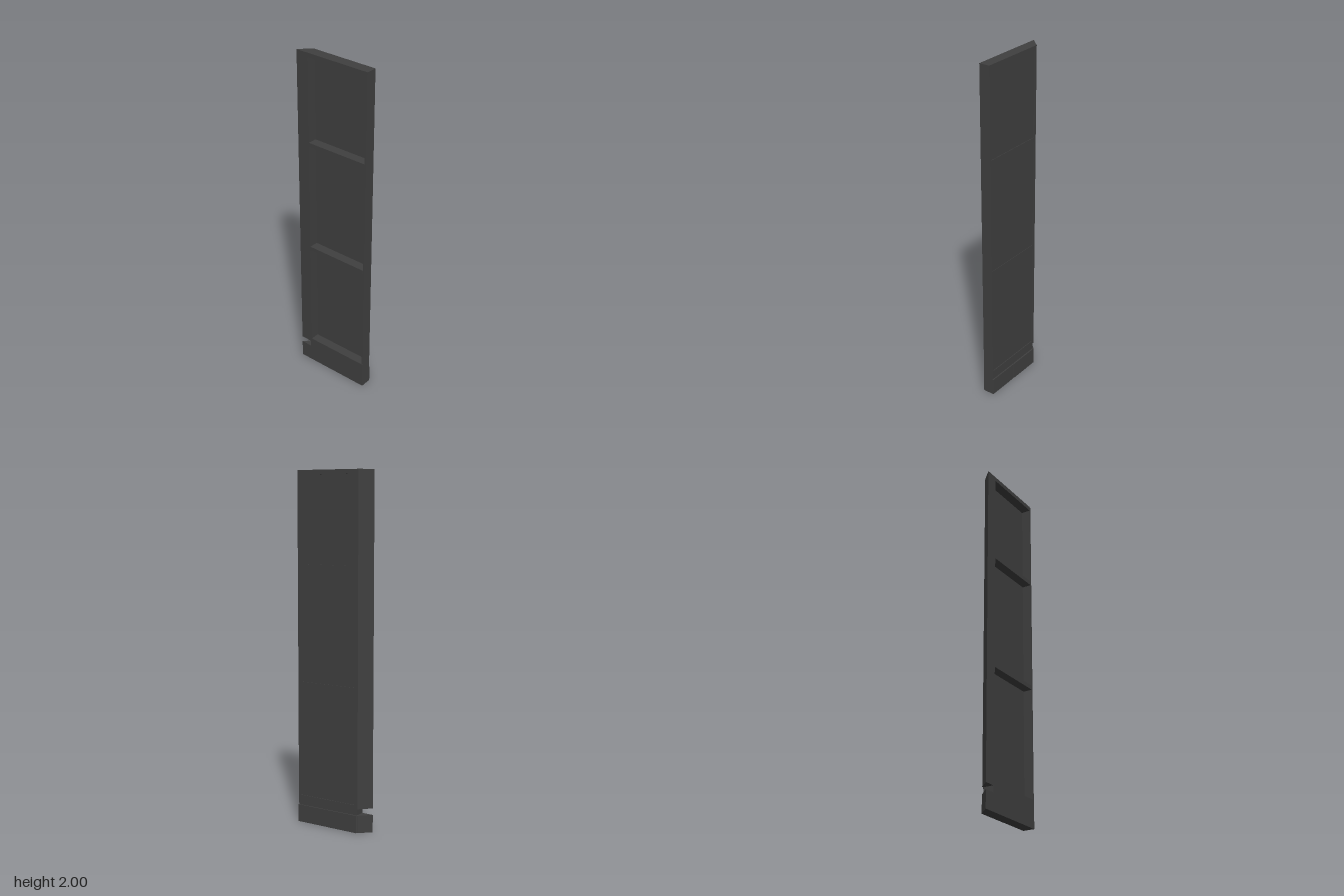
import * as THREE from 'three';

const material = new THREE.MeshStandardMaterial({ color: 0x404040, flatShading: true });
const BACK = -0.035, FACE = 0.028, FRONT = 0.232, INNER = -0.157;

export function createModel() {
  const group = new THREE.Group();

  // Box given by its limits on each axis
  const box = (name, [x0, x1], [y0, y1], [z0, z1]) => {
    const mesh = new THREE.Mesh(new THREE.BoxGeometry(x1 - x0, y1 - y0, z1 - z0), material);
    mesh.position.set((x0 + x1) / 2, (y0 + y1) / 2, (z0 + z1) / 2);
    mesh.name = name;
    group.add(mesh);
  };

  // Upright prism with a plan outline of [x, z] points
  const prism = (name, plan, y0, y1) => {
    const shape = new THREE.Shape(plan.map(([x, z]) => new THREE.Vector2(x, -z)));
    const geometry = new THREE.ExtrudeGeometry(shape, { depth: y1 - y0, bevelEnabled: false });
    geometry.rotateX(-Math.PI / 2).translate(0, y0, 0);
    const mesh = new THREE.Mesh(geometry, material);
    mesh.name = name;
    group.add(mesh);
  };

  // Plan with a 45 degree mitre at the back end
  const mitred = (x0, x1, z1) => [[x0, z1], [x1, z1], [x1, -0.2 + x1], [x0, -0.2 + x0 + 0.002]];

  // Plinth with two skirting boards butted together
  prism('plinth', mitred(BACK, FACE, FRONT), 0, 0.1);
  box('frontSkirting', [FACE, 0.033], [0, 0.1], [0.036, FRONT]);
  prism('backSkirting', mitred(FACE, 0.034, 0.033), 0, 0.1);

  // Bottom rail, stopping short of the mitre to leave the notch
  box('bottomRail', [BACK, FACE - 0.002], [0.1, 0.13], [-0.165, FRONT]);
  box('bottomShelf', [BACK, FACE], [0.13, 0.158], [-0.165, FRONT]);

  // Uprights: thin front board and mitred back stile
  box('frontBoard', [BACK + 0.001, FACE], [0.158, 2], [0.222, FRONT]);
  prism('mitredStile', mitred(BACK, FACE, INNER), 0.137, 2);

  // Cross rails between the uprights
  box('topRail', [BACK, FACE], [1.975, 2], [INNER, 0.222]);
  for (const y of [0.795, 1.46]) {
    box('crossRail', [BACK, FACE - 0.001], [y, y + 0.024], [INNER, 0.222]);
  }

  // Thin recessed panels, open at the back
  for (const [y0, y1] of [[0.158, 0.795], [0.819, 1.46], [1.484, 1.975]]) {
    box('panel', [0.019, 0.024], [y0, y1], [INNER, 0.222]);
  }
  return group;
}
